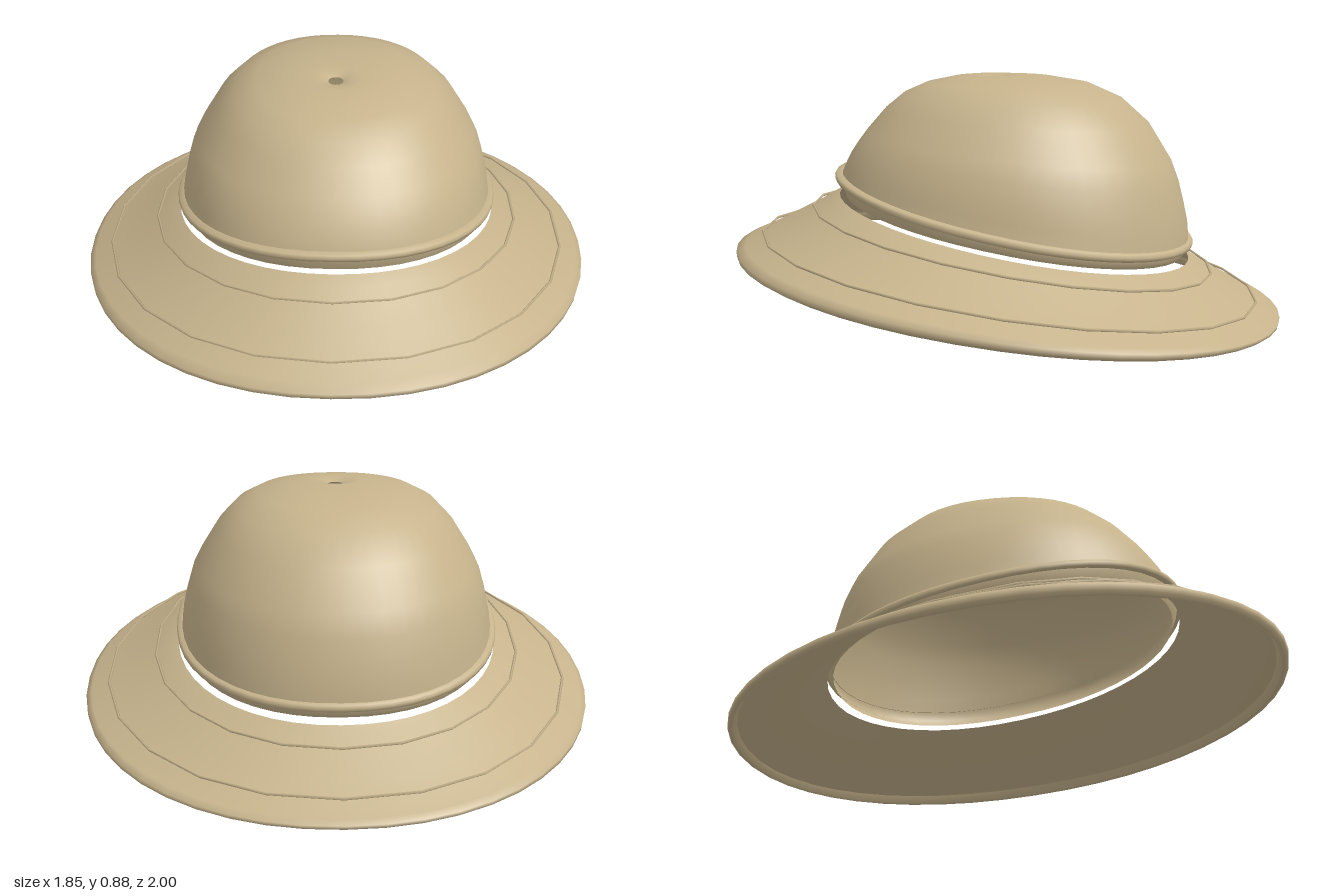
import * as THREE from 'three';

const khaki = new THREE.MeshStandardMaterial({ color: 0xc6b38c, side: THREE.DoubleSide });
khaki.name = 'khaki cloth';

// Skins a stack of tilted oval rings, listed from the underside upwards.
// Ring: [half width, front z, back z, front y, back y, dip at the sides]
// A power below 1 makes the ovals squarer.
function loft(name, rings, power, segments = 48) {
  const positions = [], indices = [];
  const shape = (v) => Math.sign(v) * Math.abs(v) ** power;
  for (const [w, zf, zb, yf, yb, dip = 0] of rings) {
    for (let j = 0; j < segments; j++) {
      const a = (j / segments) * Math.PI * 2;
      const s = shape(Math.sin(a)), c = shape(Math.cos(a));
      positions.push(
        w * s,
        (yf + yb) / 2 + ((yf - yb) / 2) * c - dip * s * s,
        (zf + zb) / 2 + ((zf - zb) / 2) * c
      );
    }
  }
  for (let i = 0; i < rings.length - 1; i++) {
    for (let j = 0; j < segments; j++) {
      const k = (j + 1) % segments;
      const a = i * segments + j, b = i * segments + k;
      const c = a + segments, d = b + segments;
      indices.push(a, b, d, a, d, c);
    }
  }
  const geometry = new THREE.BufferGeometry();
  geometry.setAttribute('position', new THREE.Float32BufferAttribute(positions, 3));
  geometry.setIndex(indices);
  geometry.computeVertexNormals();
  const mesh = new THREE.Mesh(geometry, khaki);
  mesh.name = name;
  return mesh;
}

const CROWN_POWER = 0.93, BRIM_POWER = 0.96;

// Slim raised cord with a diamond section, lying on a brim ring
function seam(name, [w, zf, zb, yf, yb]) {
  const t = 0.005, lift = 0.01;
  const section = [[0, -t], [t, 0], [0, t], [-t, 0], [0, -t]];
  return loft(name, section.map(([r, h]) =>
    [w + r, zf + r, zb - r, yf + lift + h, yb + lift + h]), BRIM_POWER, 22);
}

export function createModel() {
  const hat = new THREE.Group();
  hat.name = 'sunHat';

  // Domed crown with a tucked-in hem and a small dimpled vent hole on top
  hat.add(loft('crown', [
    [0.555, 0.597, -0.645, 0.46, 0.235, 0.012],
    [0.574, 0.616, -0.667, 0.512, 0.262, 0.02],
    [0.565, 0.61, -0.665, 0.535, 0.29, 0.02],
    [0.558, 0.597, -0.66, 0.565, 0.35, 0.015],
    [0.545, 0.577, -0.645, 0.605, 0.42, 0.01],
    [0.525, 0.55, -0.625, 0.645, 0.50],
    [0.497, 0.52, -0.597, 0.685, 0.575],
    [0.432, 0.45, -0.515, 0.765, 0.71],
    [0.365, 0.38, -0.415, 0.822, 0.80],
    [0.285, 0.30, -0.295, 0.857, 0.853],
    [0.18, 0.20, -0.16, 0.878, 0.876],
    [0.09, 0.14, -0.04, 0.884, 0.884],
    [0.05, 0.102, 0.002, 0.879, 0.879],
    [0.026, 0.078, 0.026, 0.868, 0.868],
  ], CROWN_POWER));

  // Raised piping round the crown
  hat.add(loft('crownPiping', [
    [0.574, 0.615, -0.665, 0.512, 0.262, 0.02],
    [0.583, 0.632, -0.677, 0.517, 0.266, 0.02],
    [0.585, 0.637, -0.681, 0.53, 0.278, 0.02],
    [0.58, 0.632, -0.676, 0.541, 0.289, 0.02],
    [0.563, 0.61, -0.663, 0.543, 0.294, 0.02],
  ], CROWN_POWER));

  // Sloping brim with a rolled outer edge
  const outerSeam = [0.84, 0.905, -0.915, 0.312, 0.06];
  const innerSeam = [0.665, 0.72, -0.75, 0.405, 0.16];
  hat.add(loft('brim', [
    [0.885, 0.957, -0.968, 0.27, 0.026, 0.004],
    [0.898, 0.972, -0.98, 0.246, 0.003, 0.008],
    [0.907, 0.982, -0.988, 0.242, 0, 0.01],
    [0.922, 0.998, -0.998, 0.25, 0.006, 0.006],
    [0.925, 1, -1, 0.27, 0.018],
    [0.905, 0.965, -0.975, 0.287, 0.03],
    outerSeam,
    [0.75, 0.81, -0.83, 0.36, 0.11],
    innerSeam,
    [0.62, 0.665, -0.70, 0.438, 0.192, 0.004],
    [0.581, 0.623, -0.666, 0.458, 0.216, 0.01],
  ], BRIM_POWER));
  hat.add(seam('outerBrimSeam', outerSeam), seam('innerBrimSeam', innerSeam));

  return hat;
}
